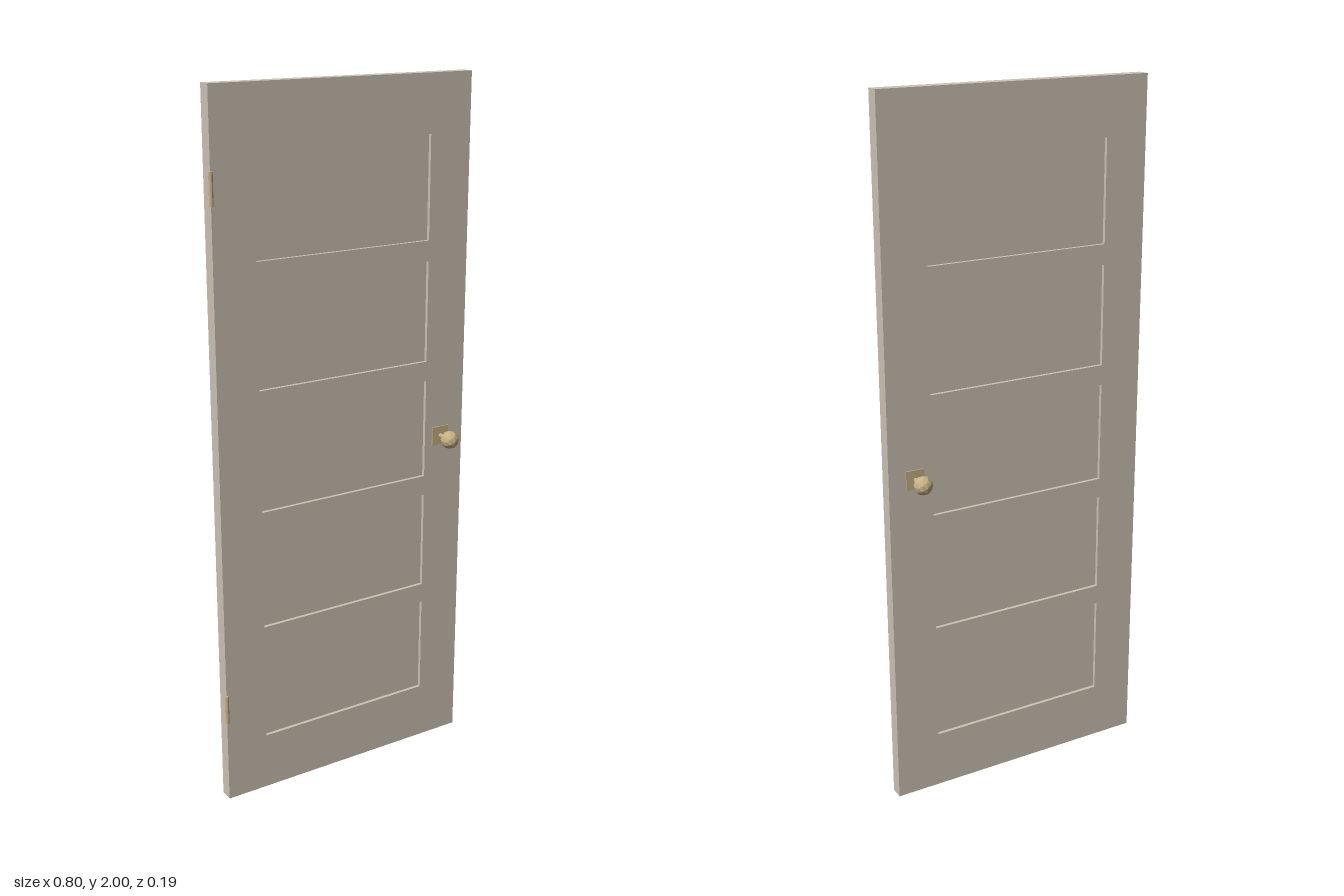
import * as THREE from 'three';

const paint = new THREE.MeshStandardMaterial({ color: 0xcbc2b4 });
paint.name = 'beige paint';
const brass = new THREE.MeshStandardMaterial({ color: 0xc6b183 });
brass.name = 'brass';
brass.flatShading = true;

export function createModel() {
  const model = new THREE.Group();
  model.name = 'panelDoor';

  const add = (name, geometry, material, x, y, z, parent = model) => {
    const mesh = new THREE.Mesh(geometry, material);
    mesh.name = name;
    mesh.position.set(x, y, z);
    parent.add(mesh);
    return mesh;
  };

  // Door frame: a slab with five openings
  const left = -0.395, right = 0.4, thickness = 0.038, midZ = -0.001;
  const panelW = 0.54, panelH = 0.288, pitch = 0.346, firstY = 0.168;
  const frame = new THREE.Shape();
  frame.moveTo(left, 0).lineTo(right, 0).lineTo(right, 2).lineTo(left, 2).closePath();
  const panelGeometry = new THREE.BoxGeometry(panelW, panelH, 0.018);
  for (let i = 0; i < 5; i++) {
    const y = firstY + i * pitch, h = panelW / 2;
    const hole = new THREE.Path();
    hole.moveTo(-h, y).lineTo(-h, y + panelH).lineTo(h, y + panelH).lineTo(h, y).closePath();
    frame.holes.push(hole);
    // Sunken panel, recessed on both faces
    add('panel' + (i + 1), panelGeometry, paint, 0, y + panelH / 2, midZ);
  }
  const frameGeometry = new THREE.ExtrudeGeometry(frame, { depth: thickness, bevelEnabled: false });
  add('doorFrame', frameGeometry, paint, 0, 0, midZ - thickness / 2);

  // Knob set, repeated on the front and back
  for (const [name, turn] of [['frontKnob', 0], ['backKnob', Math.PI]]) {
    const knob = new THREE.Group();
    knob.name = name;
    knob.position.set(0.322, 0.977, midZ);
    knob.rotation.y = turn;
    add('backPlate', new THREE.BoxGeometry(0.055, 0.055, 0.004), brass, 0, 0, 0.02, knob);
    const stem = new THREE.CylinderGeometry(0.0065, 0.0065, 0.04, 8).rotateX(Math.PI / 2);
    add('stem', stem, brass, 0, 0, 0.036, knob);
    add('ball', new THREE.IcosahedronGeometry(0.0265, 1), brass, 0, 0, 0.069, knob);
    model.add(knob);
  }

  // Hinge barrels on the front edge
  const barrel = new THREE.CylinderGeometry(0.006, 0.006, 0.086, 8);
  add('lowerHinge', barrel, brass, -0.395, 0.291, 0.02);
  add('upperHinge', barrel, brass, -0.395, 1.747, 0.02);

  return model;
}
